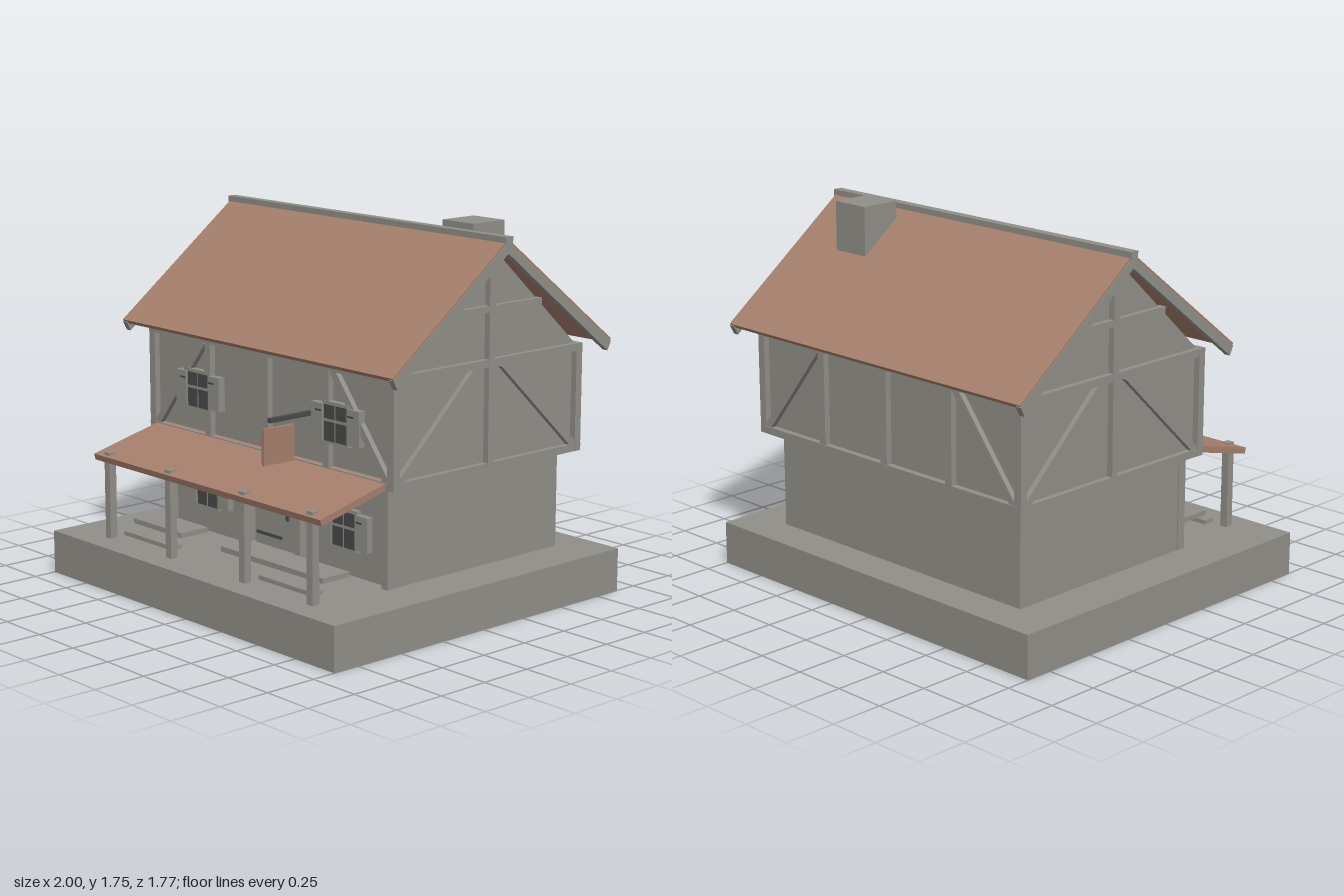
import * as THREE from 'three';

export function createModel() {
  const model = new THREE.Group();
  model.name = 'timberFramedInn';

  const mat = (name, color) => {
    const m = new THREE.MeshStandardMaterial({ color });
    m.name = name;
    return m;
  };
  const grey = mat('stoneGrey', 0x918f89);
  const brown = mat('tileBrown', 0xa67f6d);
  const dark = mat('darkGrey', 0x4a4a4a);

  const add = (name, geometry, material) => {
    const mesh = new THREE.Mesh(geometry, material);
    mesh.name = name;
    model.add(mesh);
    return mesh;
  };
  // Box given by its limits on each axis
  const box = (name, m, x0, x1, y0, y1, z0, z1) => {
    const mesh = add(name, new THREE.BoxGeometry(x1 - x0, y1 - y0, z1 - z0), m);
    mesh.position.set((x0 + x1) / 2, (y0 + y1) / 2, (z0 + z1) / 2);
    return mesh;
  };
  // Profile of [z, y] points drawn out along x
  const prism = (name, m, pts, x0, x1) => {
    const shape = new THREE.Shape(pts.map(([z, y]) => new THREE.Vector2(z, y)));
    const g = new THREE.ExtrudeGeometry(shape, { depth: x1 - x0, bevelEnabled: false });
    g.rotateY(-Math.PI / 2);
    g.translate(x1, 0, 0);
    return add(name, g, m);
  };
  // Sloping timber between two points on a wall facing x or z
  const brace = (name, axis, at, a, b) => {
    const len = Math.hypot(b[0] - a[0], b[1] - a[1]);
    const g = new THREE.BoxGeometry(len, 0.035, 0.028);
    g.rotateZ(Math.atan2(b[1] - a[1], b[0] - a[0]));
    g.translate((a[0] + b[0]) / 2, (a[1] + b[1]) / 2, 0);
    if (axis === 'x') g.rotateY(-Math.PI / 2);
    const mesh = add(name, g, grey);
    mesh.position[axis] = at;
  };

  const ZC = -0.185; // ridge line
  const mirrorZ = (pts) => pts.map(([z, y]) => [2 * ZC - z, y]);

  // Base and walls
  box('base', grey, -1, 1, 0, 0.205, -0.885, 0.885);
  box('groundFloor', grey, -0.775, 0.775, 0.2, 0.67, -0.7, 0.335);
  box('upperFloor', grey, -0.82, 0.82, 0.667, 1.165, -0.745, 0.38);
  prism('gableWall', grey, [[0.385, 1.165], [ZC, 1.685], [-0.755, 1.165]], -0.82, 0.82);

  // Ground floor front timbers
  for (const s of [-1, 1]) {
    for (const x of [0.76, 0.18]) {
      box('groundPost', grey, s * x - 0.02, s * x + 0.02, 0.205, 0.667, 0.33, 0.375);
    }
  }
  box('groundBeam', grey, -0.78, 0.78, 0.63, 0.667, 0.33, 0.374);

  // Upper floor timbers, long sides
  for (const [z0, z1] of [[0.37, 0.41], [-0.775, -0.735]]) {
    const zm = z0 > 0 ? 0.392 : -0.757;
    for (const y of [0.665, 1.135]) box('longBeam', grey, -0.85, 0.85, y, y + 0.035, z0, z1);
    for (const x of [-0.83, -0.412, 0, 0.412, 0.83]) {
      box('wallPost', grey, x - 0.02, x + 0.02, 0.666, 1.169, z0 + 0.001, z1 - 0.001);
    }
    for (const s of [-1, 1]) brace('wallBrace', 'z', zm, [s * 0.8, 0.7], [s * 0.45, 1.14]);
  }

  // Upper floor and gable timbers, end walls
  for (const s of [-1, 1]) {
    const ends = (name, y0, y1, z0, z1, d = 0.848) =>
      box(name, grey, Math.min(s * 0.81, s * d), Math.max(s * 0.81, s * d), y0, y1, z0, z1);
    for (const y of [0.665, 1.135]) ends('endBeam', y, y + 0.035, -0.774, 0.409);
    ends('kingPost', 0.68, 1.67, ZC - 0.018, ZC + 0.018, 0.85);
    ends('collarBeam', 1.38, 1.41, -0.5, 0.135);
    brace('endBrace', 'x', s * 0.832, [0.36, 0.7], [-0.105, 1.14]);
    brace('endBrace', 'x', s * 0.832, [-0.73, 0.7], [-0.265, 1.14]);
  }

  // Main roof, barge boards and ridge
  const slab = [[0.5, 1.19], [ZC, 1.715], [ZC, 1.69], [0.485, 1.172]];
  const board = [[0.497, 1.18], [ZC, 1.702], [ZC, 1.65], [0.475, 1.137]];
  for (const f of [(p) => p, mirrorZ]) {
    prism('roofSlope', brown, f(slab), -0.937, 0.937);
    prism('bargeBoard', grey, f(board), 0.91, 0.94);
    prism('bargeBoard', grey, f(board), -0.94, -0.91);
  }
  box('ridgeBeam', grey, -0.945, 0.945, 1.69, 1.725, -0.207, -0.163);
  box('chimney', grey, 0.465, 0.66, 1.4, 1.745, -0.447, -0.25);

  // Porch
  prism('porchRoof', brown, [[0.785, 0.602], [0.38, 0.703], [0.38, 0.672], [0.777, 0.573]], -0.8, 0.8);
  for (const x of [-0.72, -0.262, 0.262, 0.715]) {
    box('porchPost', grey, x - 0.019, x + 0.019, 0.2, 0.62, 0.732, 0.77);
  }
  for (const s of [-1, 1]) {
    box('tableTop', grey, s * 0.49 - 0.18, s * 0.49 + 0.18, 0.268, 0.292, 0.5, 0.657);
    box('bench', grey, s * 0.49 - 0.18, s * 0.49 + 0.18, 0.22, 0.24, 0.657, 0.714);
  }

  // Door with step, hinges and handle
  box('doorStep', grey, -0.19, 0.185, 0.205, 0.23, 0.33, 0.52);
  box('door', grey, -0.135, 0.13, 0.21, 0.63, 0.33, 0.35);
  for (const y of [0.285, 0.535]) box('doorHinge', dark, -0.13, 0.05, y - 0.007, y + 0.007, 0.35, 0.356);
  box('doorHandle', dark, 0.083, 0.098, 0.375, 0.42, 0.35, 0.359);

  // Windows with four panes and open shutters
  for (const s of [-1, 1]) {
    for (const [y, z] of [[0.42, 0.345], [0.905, 0.395]]) {
      const cx = s * 0.48;
      box('windowFrame', grey, cx - 0.083, cx + 0.083, y - 0.095, y + 0.095, z - 0.02, z + 0.016);
      for (const side of [-1, 1]) {
        const px = cx + side * 0.038;
        box('windowPane', dark, px - 0.033, px + 0.033, y - 0.083, y + 0.004, z + 0.012, z + 0.02);
        box('windowPane', dark, px - 0.033, px + 0.033, y + 0.018, y + 0.08, z + 0.012, z + 0.02);
        const sx = cx + side * 0.12;
        box('shutter', grey, sx - 0.038, sx + 0.038, y - 0.08, y + 0.08, z - 0.02, z + 0.022);
        const hx = cx + side * 0.105;
        box('shutterCatch', dark, hx - 0.018, hx + 0.018, y + 0.045, y + 0.053, z + 0.02, z + 0.026);
      }
    }
  }

  // Hanging sign
  box('signBracket', dark, 0.302, 0.324, 0.918, 0.938, 0.39, 0.65);
  box('signBoard', brown, 0.305, 0.321, 0.73, 0.895, 0.512, 0.687);

  return model;
}
